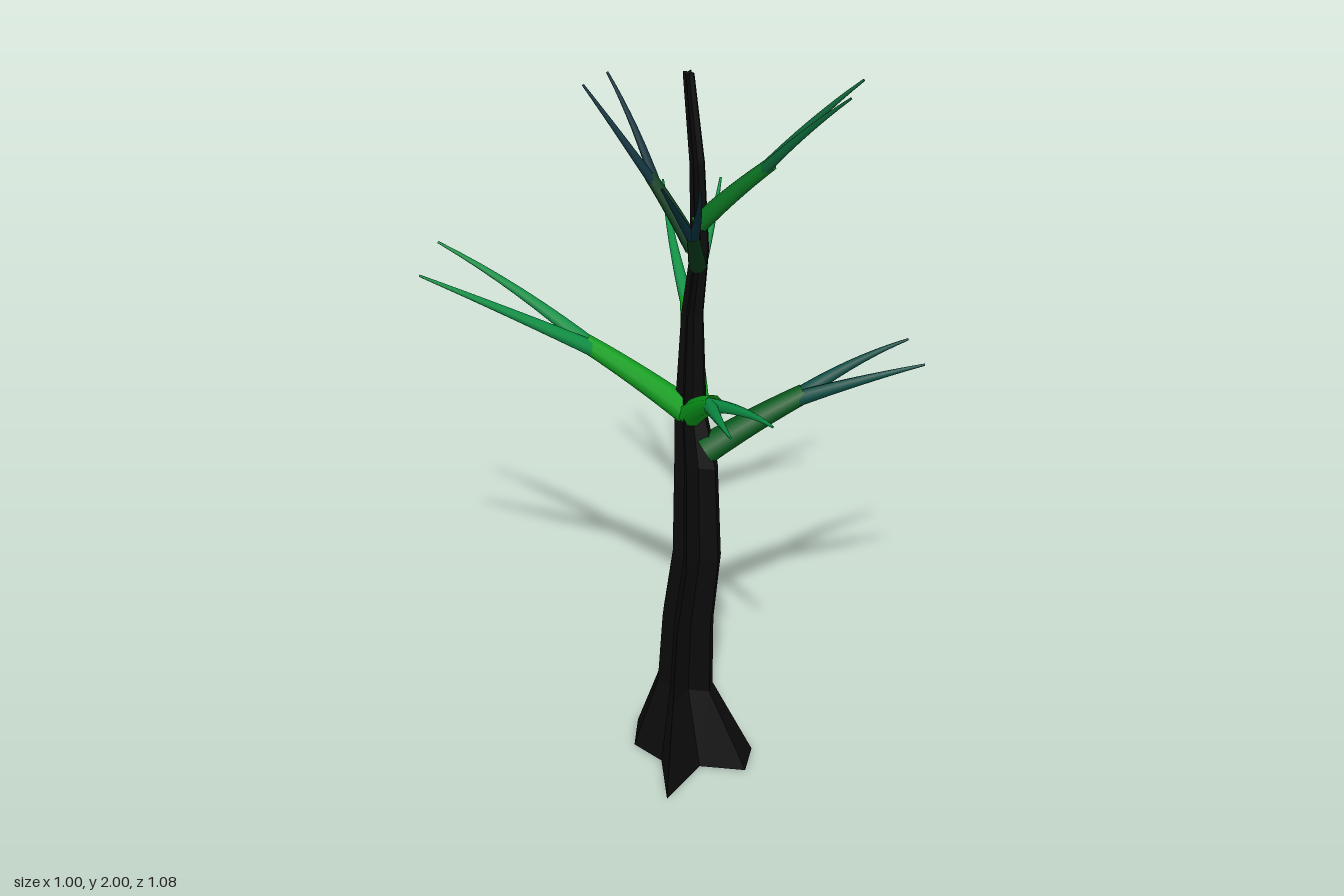
import * as THREE from 'three';

const v = (p) => new THREE.Vector3(...p);

// Round tube along a curve whose radius runs evenly from r0 to r1
function taperedTube(curve, r0, r1, color, name) {
  const segments = 8, sides = 8;
  const geo = new THREE.TubeGeometry(curve, segments, 1, sides, false);
  const pos = geo.attributes.position, p = new THREE.Vector3();
  for (let i = 0; i <= segments; i++) {
    const centre = curve.getPointAt(i / segments);
    const r = THREE.MathUtils.lerp(r0, r1, i / segments);
    for (let j = 0; j <= sides; j++) {
      const k = i * (sides + 1) + j;
      p.fromBufferAttribute(pos, k).sub(centre).multiplyScalar(r).add(centre);
      pos.setXYZ(k, p.x, p.y, p.z);
    }
  }
  const mesh = new THREE.Mesh(geo, new THREE.MeshStandardMaterial({ color, side: THREE.DoubleSide }));
  mesh.name = name;
  return mesh;
}

// Stem that forks into two pointed tines
function forkedBranch({ name, base, fork, tips, r, stem, tine }) {
  const group = new THREE.Group();
  group.name = name;
  const a = v(base), f = v(fork);
  const stemMid = a.clone().lerp(f, 0.5).add(v([0, 0.01, 0]));
  group.add(taperedTube(new THREE.QuadraticBezierCurve3(a, stemMid, f), r, r * 0.66, stem, 'stem'));
  const dir = f.clone().sub(a).normalize();
  const centreTip = v(tips[0]).add(v(tips[1])).multiplyScalar(0.5);
  for (const t of tips) {
    const tip = v(t);
    const start = f.clone().addScaledVector(dir, -0.035);
    // bow each tine outward from its twin, and a little upward
    const mid = start.clone().lerp(tip, 0.5)
      .addScaledVector(tip.clone().sub(centreTip), 0.22).add(v([0, 0.018, 0]));
    group.add(taperedTube(new THREE.QuadraticBezierCurve3(start, mid, tip), r * 0.58, 0.003, tine, 'tine'));
  }
  return group;
}

// Star-shaped trunk section, relative to its centre (x, z)
const STAR = [
  [-0.14, -0.19], [0.0, -0.1], [0.11, -0.12], [0.175, -0.05], [0.09, 0.04],
  [0.15, 0.19], [0.01, 0.11], [-0.09, 0.13], [-0.175, 0.06], [-0.09, -0.04],
];

// Trunk levels: height, centre x, centre z, scale
const LEVELS = [
  [0, 0.043, 0.01, 1], [0.21, 0.022, 0.02, 0.46], [0.43, 0.035, 0.02, 0.42],
  [0.65, 0.07, 0.017, 0.39], [0.92, 0.06, 0.013, 0.345], [1.06, 0.03, 0.008, 0.25],
  [1.34, 0.034, 0.006, 0.17], [1.53, 0.07, 0.01, 0.14], [1.76, 0.062, 0.013, 0.115],
  [1.975, 0.03, 0.015, 0.085],
];

function trunk() {
  const n = STAR.length, pos = [], index = [];
  for (const [y, cx, cz, s] of LEVELS)
    for (const [x, z] of STAR) pos.push(cx + x * s, y, cz + z * s);
  const last = (LEVELS.length - 1) * n, bottom = LEVELS.length * n, top = bottom + 1;
  for (const [y, cx, cz] of [LEVELS[0], LEVELS[LEVELS.length - 1]]) pos.push(cx, y, cz);
  for (let j = 0; j < n; j++) {
    const k = (j + 1) % n;
    for (let o = 0; o < last; o += n)
      index.push(o + j, o + n + j, o + k, o + k, o + n + j, o + n + k);
    index.push(bottom, j, k, top, last + k, last + j);
  }
  const geo = new THREE.BufferGeometry();
  geo.setAttribute('position', new THREE.Float32BufferAttribute(pos, 3));
  geo.setIndex(index);
  geo.computeVertexNormals();
  const mesh = new THREE.Mesh(geo, new THREE.MeshStandardMaterial({ color: 0x0b0b0b, flatShading: true }));
  mesh.name = 'trunk';
  return mesh;
}

const BRIGHT = { stem: 0x0aa01c, tine: 0x0c9145 };
const MEDIUM = { stem: 0x0a7020, tine: 0x0c6236 };
const DEEP = { stem: 0x0a5a1e, tine: 0x0d4c42 };
const DARK = { stem: 0x083c1c, tine: 0x08303a };

const BRANCHES = [
  { name: 'lowerRightBackBranch', base: [0.03, 1.08, -0.01], fork: [-0.19, 1.24, -0.14],
    tips: [[-0.39, 1.43, -0.39], [-0.485, 1.42, -0.27]], r: 0.034, ...BRIGHT },
  { name: 'lowerRightFrontBranch', base: [0.03, 1.06, 0.02], fork: [-0.17, 1.22, 0.19],
    tips: [[-0.5, 1.43, 0.41], [-0.37, 1.43, 0.54]], r: 0.036, ...BRIGHT },
  { name: 'lowerLeftBranch', base: [0.05, 1.06, 0.02], fork: [0.22, 1.19, 0.075],
    tips: [[0.495, 1.27, 0.105], [0.465, 1.26, 0.205]], r: 0.034, ...BRIGHT },
  { name: 'lowerBackBranch', base: [0.08, 0.96, 0.0], fork: [0.175, 1.09, -0.24],
    tips: [[0.22, 1.17, -0.54], [0.345, 1.17, -0.49]], r: 0.038, ...DEEP },
  { name: 'upperLeftBackBranch', base: [0.07, 1.6, 0.01], fork: [0.21, 1.78, -0.095],
    tips: [[0.345, 2, -0.255], [0.41, 2, -0.165]], r: 0.026, ...MEDIUM },
  { name: 'upperRightBranch', base: [0.06, 1.53, 0.02], fork: [-0.06, 1.69, 0.065],
    tips: [[-0.23, 1.9, 0.07], [-0.2, 1.9, 0.16]], r: 0.023, ...DARK },
  { name: 'upperLeftFrontBranch', base: [0.075, 1.49, 0.02], fork: [0.165, 1.63, 0.1],
    tips: [[0.225, 1.81, 0.228], [0.285, 1.81, 0.165]], r: 0.023, ...DARK },
];

export function createModel() {
  const tree = new THREE.Group();
  tree.name = 'tree';
  tree.add(trunk(), ...BRANCHES.map(forkedBranch));
  return tree;
}
